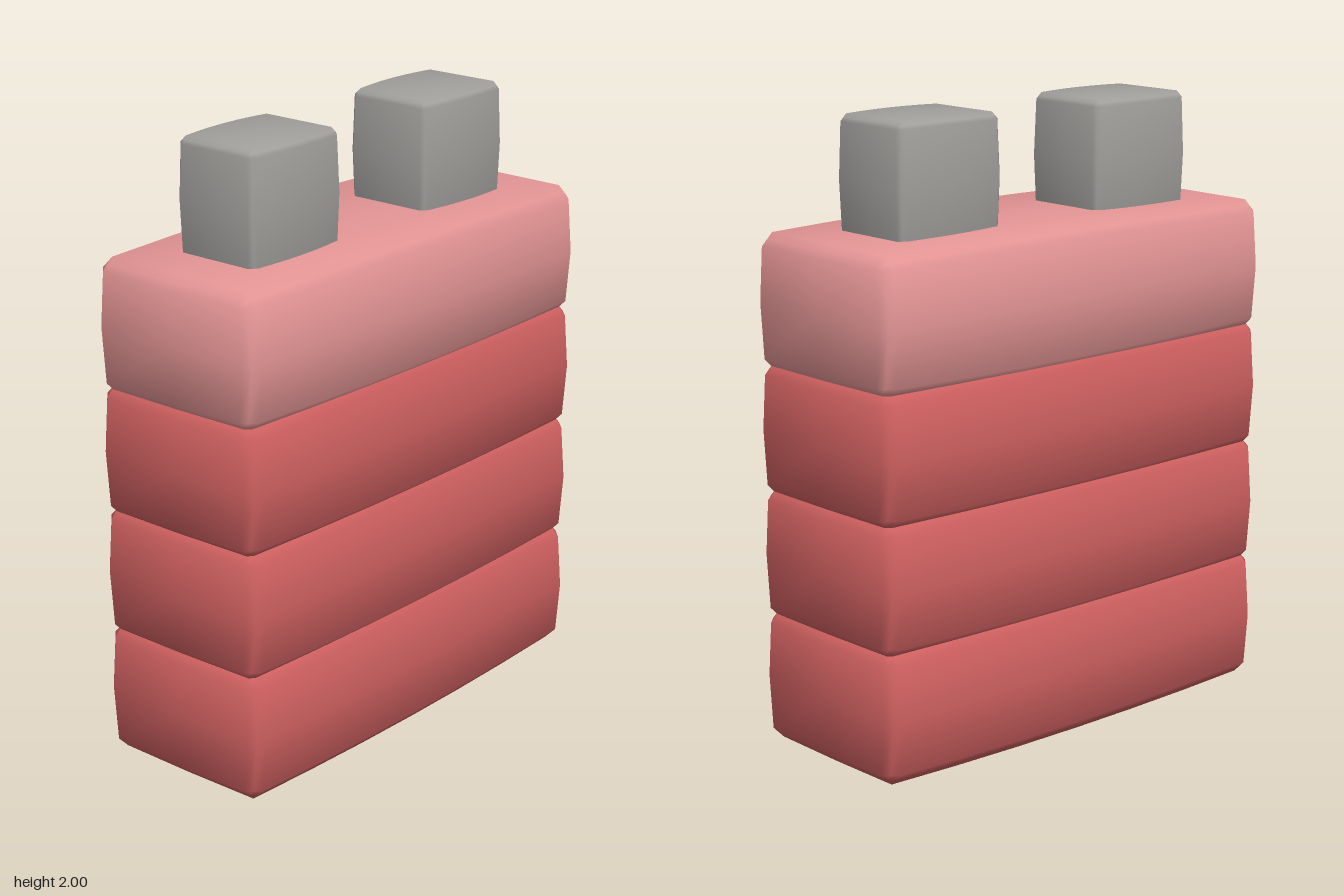
import * as THREE from 'three';

const material = (name, color) => {
  const m = new THREE.MeshStandardMaterial({ color });
  m.name = name;
  return m;
};

// Soft block: chamfered box whose faces swell towards their middle.
// half: half sizes at the rim, c: chamfer, lean: how far rim normals tilt per axis
// swell.z / swell.y / swell.x: extra size of each pair of faces along [x, y, z]
function softBlock(half, c, swell, lean) {
  const segs = [8, 4, 4];
  const geo = new THREE.BoxGeometry(2, 2, 2, ...segs);
  const pos = geo.attributes.position;
  const nor = geo.attributes.normal;
  for (let i = 0; i < pos.count; i++) {
    const t = [pos.getX(i), pos.getY(i), pos.getZ(i)];
    const outer = t.map((v) => (Math.abs(v) > 0.99 ? Math.sign(v) : 0));
    const count = outer.reduce((s, v) => s + Math.abs(v), 0);
    // u runs -1..1 over the flat part of a face
    const u = t.map((v, a) => THREE.MathUtils.clamp(v / (1 - 2 / segs[a]), -1, 1));
    const p = u.map((v, a) => {
      const bulge = swell[a].reduce((s, w, b) => s + w * (b === 0 ? 1 - u[b] * u[b] : 1 - Math.abs(u[b])), 0);
      return v * (half[a] - c + bulge) + (outer[a] * c) / count;
    });
    const n = new THREE.Vector3(...outer.map((v, a) => v || u[a] * lean[a])).normalize();
    pos.setXYZ(i, ...p);
    nor.setXYZ(i, n.x, n.y, n.z);
  }
  return geo;
}

export function createModel() {
  const group = new THREE.Group();
  const red = material('red', 0xcd5f5f);
  const pink = material('pink', 0xe39494);
  const grey = material('grey', 0xa09f9c);

  const add = (name, geo, mat, x, y) => {
    const mesh = new THREE.Mesh(geo, mat);
    mesh.name = name;
    mesh.position.set(x, y, 0);
    group.add(mesh);
  };

  // Four stacked cushions, the top one lighter
  const cushion = softBlock(
    [0.8, 0.215, 0.31], 0.04,
    [[0, 0, 0.004], [0.01, 0, 0], [0.01, 0.015, 0]],
    [0.15, 0.45, 0.25]
  );
  for (let i = 0; i < 4; i++) {
    add(i < 3 ? 'bodyLayer' + (i + 1) : 'topLayer', cushion, i < 3 ? red : pink, 0, 0.225 + 0.4 * i);
  }

  // Two studs sunk slightly into the top
  const stud = softBlock(
    [0.2, 0.198, 0.152], 0.022,
    [[0, 0.005, 0], [0.002, 0, 0], [0.012, 0.005, 0]],
    [0.18, 0.18, 0.18]
  );
  add('leftStud', stud, grey, 0.4, 1.8);
  add('rightStud', stud, grey, -0.4, 1.8);
  return group;
}
